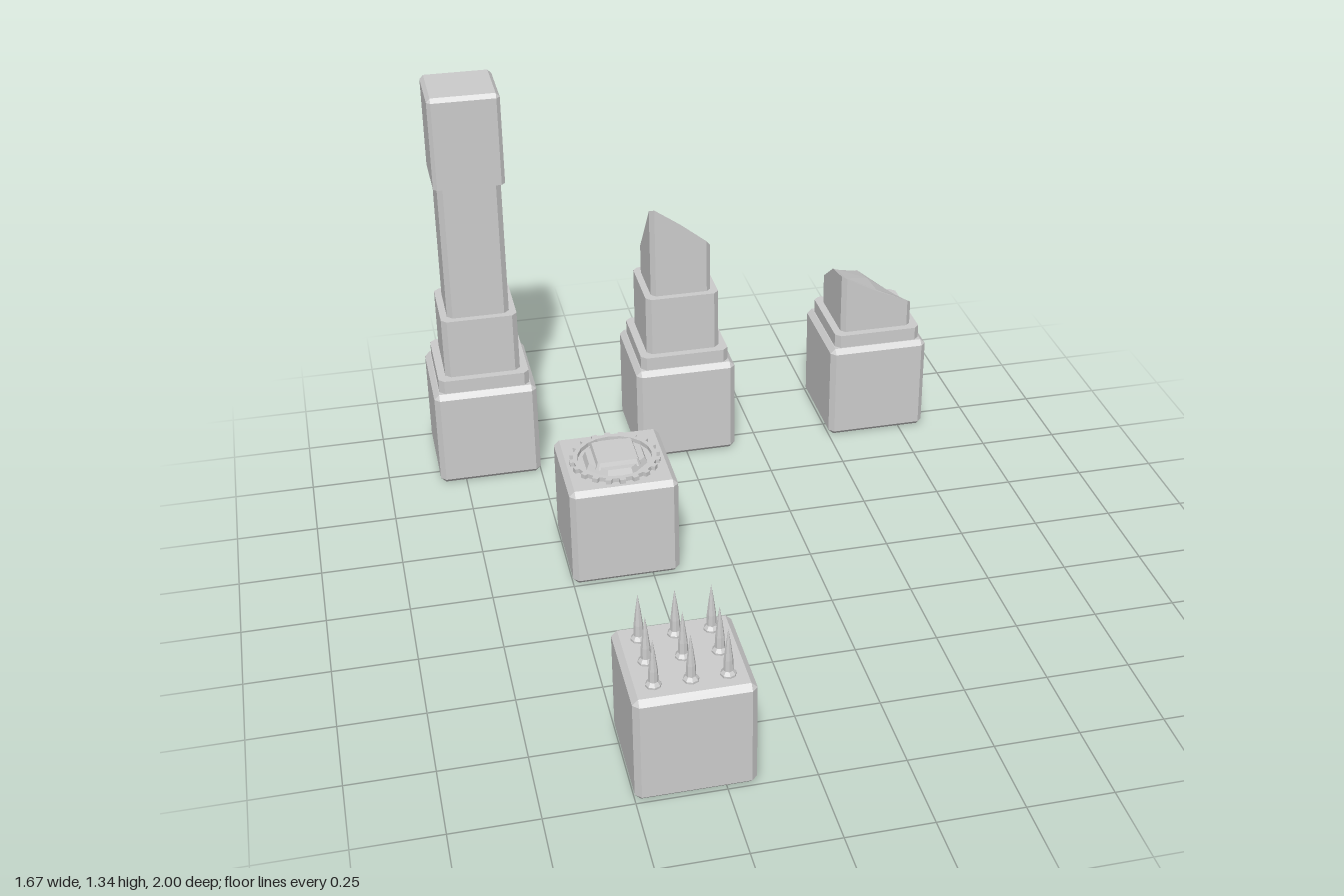
import * as THREE from 'three';

const stone = new THREE.MeshStandardMaterial({ color: 0xcccccc, flatShading: true, side: THREE.DoubleSide });

function add(parent, name, geometry, x = 0, y = 0, z = 0) {
  const mesh = new THREE.Mesh(geometry, stone);
  mesh.name = name;
  mesh.position.set(x, y, z);
  parent.add(mesh);
  return mesh;
}

// Stack of chamfered squares [halfWidth, chamfer, y], closed on top and open below
function chamferedStack(rings) {
  const pos = [], idx = [];
  for (const [h, c, y] of rings) {
    const k = h - c;
    for (const [x, z] of [[h, -k], [h, k], [k, h], [-k, h], [-h, k], [-h, -k], [-k, -h], [k, -h]]) pos.push(x, y, z);
  }
  for (let r = 0; r < rings.length - 1; r++) {
    for (let i = 0; i < 8; i++) {
      const a = r * 8 + i, b = r * 8 + (i + 1) % 8;
      idx.push(a, a + 8, b, b, a + 8, b + 8);
    }
  }
  const top = (rings.length - 1) * 8;
  for (let i = 1; i < 7; i++) idx.push(top, top + i + 1, top + i);
  const g = new THREE.BufferGeometry();
  g.setAttribute('position', new THREE.Float32BufferAttribute(pos, 3));
  g.setIndex(idx);
  const flat = g.toNonIndexed();
  flat.computeVertexNormals();
  return flat;
}

const tier = (h, y0, y1, c = 0.017) => chamferedStack([[h, c, y0], [h, c, y1]]);

// Chamfered tier whose top follows a 3 x 3 grid of heights (rows back to front)
function brokenTier(half, chamfer, y0, heights) {
  const g = new THREE.BoxGeometry(4, 1, 4, 4, 1, 4);
  const p = g.attributes.position;
  const line = [-half, chamfer - half, 0, half - chamfer, half];
  const sample = (u, v) => {
    const i = u < 0 ? 0 : 1, j = v < 0 ? 0 : 1;
    const s = u + 1 - i, t = v + 1 - j;
    const back = THREE.MathUtils.lerp(heights[j][i], heights[j][i + 1], s);
    const front = THREE.MathUtils.lerp(heights[j + 1][i], heights[j + 1][i + 1], s);
    return THREE.MathUtils.lerp(back, front, t);
  };
  for (let n = 0; n < p.count; n++) {
    const gx = Math.round(p.getX(n)) + 2, gz = Math.round(p.getZ(n)) + 2;
    let x = line[gx], z = line[gz];
    if (gx % 4 === 0 && gz % 4 === 0) {
      x -= Math.sign(x) * chamfer / 2;
      z -= Math.sign(z) * chamfer / 2;
    }
    const y = p.getY(n) > 0 ? sample(x / half, z / half) : y0;
    p.setXYZ(n, x, y, z);
  }
  g.computeVertexNormals();
  return g;
}

// Bevelled cube every piece stands on
function block(root, name, x, z) {
  const g = new THREE.Group();
  g.name = name;
  g.position.set(x, 0, z);
  add(g, 'block', chamferedStack([[0.15, 0, 0], [0.1667, 0.0167, 0.0167], [0.1667, 0.0167, 0.317], [0.15, 0, 0.333]]));
  root.add(g);
  return g;
}

// Toothed ring with a round opening
function toothedRing(teeth, rIn, rRoot, rTip, height) {
  const shape = new THREE.Shape();
  for (let i = 0; i < teeth; i++) {
    [[-0.25, rRoot], [-0.2, rTip], [0.2, rTip], [0.25, rRoot]].forEach(([o, r], k) => {
      const a = (i + o) / teeth * Math.PI * 2;
      const x = r * Math.cos(a), y = r * Math.sin(a);
      if (i + k === 0) shape.moveTo(x, y); else shape.lineTo(x, y);
    });
  }
  shape.closePath();
  shape.holes.push(new THREE.Path().absarc(0, 0, rIn, 0, Math.PI * 2, true));
  const g = new THREE.ExtrudeGeometry(shape, { depth: height, bevelEnabled: false, curveSegments: 10 });
  g.rotateX(-Math.PI / 2);
  return g;
}

export function createModel() {
  const root = new THREE.Group();
  root.name = 'dungeonBlocks';

  // Whole pillar
  const pillar = block(root, 'wholePillar', -0.667, -0.833);
  add(pillar, 'plinth', tier(0.147, 0.333, 0.378));
  add(pillar, 'foot', tier(0.122, 0.378, 0.58));
  add(pillar, 'shaft', tier(0.1, 0.58, 1.04));
  add(pillar, 'head', chamferedStack([[0.095, 0.01, 1.035], [0.112, 0.012, 1.035], [0.112, 0.012, 1.322], [0.1, 0, 1.335]]));

  // Pillar broken at the shaft
  const broken = block(root, 'brokenPillar', 0, -0.833);
  add(broken, 'plinth', tier(0.147, 0.333, 0.378));
  add(broken, 'foot', tier(0.122, 0.378, 0.58));
  add(broken, 'brokenShaft', brokenTier(0.1, 0.015, 0.58, [
    [0.66, 0.68, 0.64],
    [0.78, 0.72, 0.68],
    [0.9, 0.83, 0.75],
  ]));
  add(broken, 'pebble', new THREE.IcosahedronGeometry(0.016, 0), 0, 0.71, -0.045);

  // Pillar broken at the foot
  const stump = block(root, 'pillarStump', 0.667, -0.833);
  add(stump, 'plinth', tier(0.147, 0.333, 0.378));
  add(stump, 'brokenFoot', brokenTier(0.122, 0.015, 0.378, [
    [0.47, 0.48, 0.382],
    [0.56, 0.51, 0.42],
    [0.585, 0.52, 0.465],
  ]));

  // Pressure plate with a toothed ring
  const plate = block(root, 'pressurePlate', -0.333, -0.167);
  add(plate, 'toothedRing', toothedRing(20, 0.115, 0.128, 0.14, 0.014), 0, 0.333, 0);
  add(plate, 'octagonPlate', new THREE.CylinderGeometry(0.093, 0.102, 0.02, 8).rotateY(Math.PI / 8), 0, 0.343, 0);
  add(plate, 'squarePlate', chamferedStack([[0.07, 0.008, 0.345], [0.062, 0.005, 0.366]]));

  // Spike trap, three rows of three
  const trap = block(root, 'spikeTrap', -0.333, 0.833);
  const profile = [[0.022, 0], [0.022, 0.006], [0.014, 0.016], [0.013, 0.05], [0.007, 0.1], [0, 0.147]];
  const spike = new THREE.LatheGeometry(profile.map(([r, y]) => new THREE.Vector2(r, y)), 8);
  for (let i = -1; i <= 1; i++) {
    for (let j = -1; j <= 1; j++) add(trap, 'spike', spike, i * 0.1, 0.333, j * 0.1);
  }
  return root;
}
